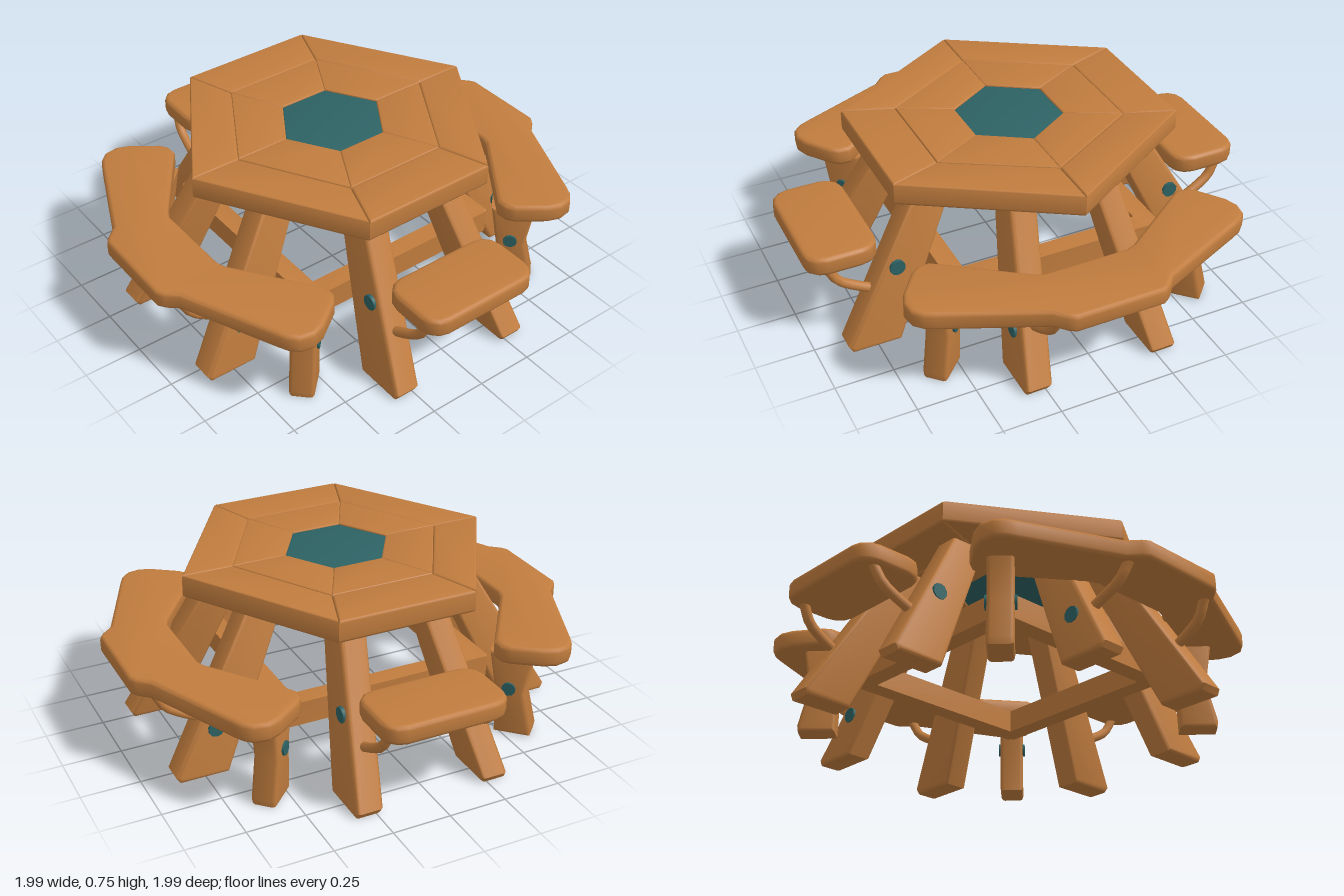
import * as THREE from 'three';
import { toCreasedNormals } from 'three/addons/utils/BufferGeometryUtils.js';

const wood = new THREE.MeshStandardMaterial({ color: 0xc07c3e });
wood.name = 'warm wood';
const teal = new THREE.MeshStandardMaterial({ color: 0x2d6264 });
teal.name = 'dark teal';

function add(parent, name, geometry, material = wood) {
  const mesh = new THREE.Mesh(geometry, material);
  mesh.name = name;
  parent.add(mesh);
  return mesh;
}

// Extruded outline with softened edges that stays inside the outline
function extrude(points, depth, bevel) {
  const shape = new THREE.Shape(points.map(([x, y]) => new THREE.Vector2(x, y)));
  const geometry = new THREE.ExtrudeGeometry(shape, {
    depth: depth - 2 * bevel, bevelThickness: bevel, bevelSize: bevel,
    bevelOffset: -bevel, bevelSegments: 3,
  });
  return geometry.translate(0, 0, bevel);
}

// Horizontal board from an (x, z) outline
function board(points, y0, y1, bevel) {
  const geometry = extrude(points.map(([x, z]) => [x, -z]), y1 - y0, bevel);
  return toCreasedNormals(geometry.rotateX(-Math.PI / 2).translate(0, y0, 0), 0.75);
}

// Upright part from a (radius, y) profile; sideways offset depends on height
function upright(profile, thickness, offset = () => 0) {
  const geometry = extrude(profile, thickness, 0.016).translate(0, 0, -thickness / 2);
  const p = geometry.attributes.position;
  for (let i = 0; i < p.count; i++) p.setZ(i, p.getZ(i) + offset(p.getY(i)));
  return toCreasedNormals(geometry, 0.75);
}

function addBolt(parent, x, y, z, radius) {
  const geometry = new THREE.CylinderGeometry(radius, radius, 0.024, 10);
  add(parent, 'bolt', geometry.rotateX(Math.PI / 2).translate(x, y, z), teal);
}

// Six corners of a hexagon
const hexagon = (point, cornerX, cornerZ) => [
  [point, 0], [cornerX, cornerZ], [-cornerX, cornerZ],
  [-point, 0], [-cornerX, -cornerZ], [cornerX, -cornerZ],
];

function buildTop() {
  const group = new THREE.Group();
  group.name = 'tableTop';
  const rings = [hexagon(0.69, 0.3, 0.635), hexagon(0.47, 0.225, 0.42), hexagon(0.235, 0.11, 0.2)];
  for (let r = 0; r < 2; r++) {
    for (let i = 0; i < 6; i++) {
      const j = (i + 1) % 6;
      const outline = [rings[r][i], rings[r][j], rings[r + 1][j], rings[r + 1][i]];
      add(group, r ? 'innerPlank' : 'outerPlank', board(outline, 0.65, 0.745, r ? 0.006 : 0.012));
    }
  }
  add(group, 'centrePanel', board(rings[2], 0.66, 0.738, 0.003), teal);
  return group;
}

function buildBenches() {
  const group = new THREE.Group();
  group.name = 'benches';
  // Half outline of the angled bench, mirrored front to back
  const half = [
    [0.995, 0.19], [0.975, 0.22], [0.93, 0.26], [0.755, 0.66], [0.735, 0.7], [0.7, 0.735], [0.64, 0.745],
    [0.585, 0.725], [0.475, 0.645], [0.45, 0.61], [0.448, 0.56], [0.69, 0.22], [0.705, 0.18],
  ];
  const outline = [...half, ...half.map(([x, z]) => [x, -z]).reverse()];
  for (const s of [1, -1]) {
    add(group, 'angledBench', board(outline.map(([x, z]) => [s * x, z]), 0.37, 0.452, 0.018));
    // Short bench with rounded corners
    const seat = [];
    for (let i = 0; i < 16; i++) {
      const corner = Math.floor(i / 4);
      const a = (corner + (i % 4) / 3) * Math.PI / 2;
      const cx = corner === 0 || corner === 3 ? 0.19 : -0.19;
      const cz = corner < 2 ? 0.07 : -0.07;
      seat.push([cx + 0.08 * Math.cos(a), s * (0.84 + cz + 0.083 * Math.sin(a))]);
    }
    add(group, 'shortBench', board(seat, 0.37, 0.452, 0.018));
  }
  return group;
}

// One quarter of the base: two splayed legs, their braces, a rail and a corner post
function buildQuarter(k) {
  const group = new THREE.Group();
  group.name = 'baseQuarter';
  const legProfile = [[0.35, 0.655], [0.51, 0.655], [0.875, 0.025], [0.86, 0], [0.65, 0]];
  const lean = (y) => 0.285 - (y / 0.65) * 0.105;
  for (const s of [1, -1]) {
    add(group, 'tableLeg', upright(legProfile, 0.115, (y) => s * lean(y)));
    const [r, y] = k % 2 ? [0.635, 0.335] : [0.69, 0.2];
    addBolt(group, r, y, s * (lean(y) + 0.055), 0.034);
    // Bent arm carrying the bench
    const path = new THREE.CatmullRomCurve3(
      [[0.7, 0.22], [0.8, 0.265], [0.87, 0.31], [0.91, 0.38]].map(
        ([x, h]) => new THREE.Vector3(x, h, s * lean(h))));
    add(group, 'benchBrace', new THREE.TubeGeometry(path, 8, 0.021, 8));
  }
  // Rail of the square frame
  const rail = [[0.395, 0.23], [0.478, 0.23], [0.478, 0.332], [0.395, 0.332]];
  add(group, 'frameRail', upright(rail, 0.95));

  // Diagonal corner post
  const post = new THREE.Group();
  post.name = 'cornerPost';
  post.rotation.y = Math.PI / 4;
  const postProfile = [
    [0.725, 0], [0.88, 0], [0.885, 0.03], [0.845, 0.2], [0.875, 0.385], [0.69, 0.385], [0.72, 0.2],
  ];
  add(post, 'postBody', upright(postProfile, 0.105));
  for (const s of [1, -1]) addBolt(post, 0.78, 0.22, s * 0.05, 0.03);
  group.add(post);
  group.rotation.y = k * Math.PI / 2;
  return group;
}

export function createModel() {
  const model = new THREE.Group();
  model.name = 'picnicTable';
  model.add(buildTop(), buildBenches());
  for (let k = 0; k < 4; k++) model.add(buildQuarter(k));
  return model;
}
